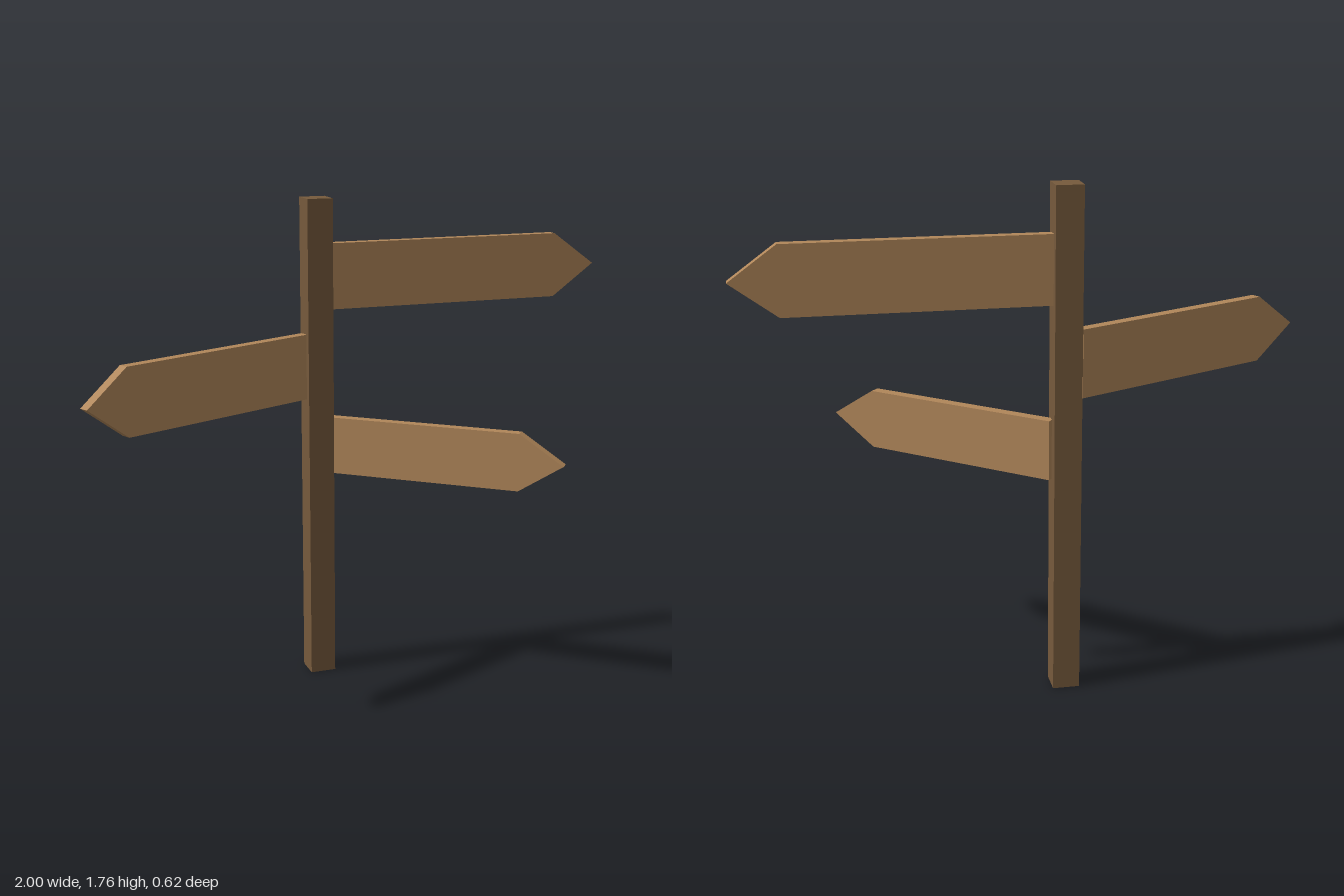
import * as THREE from 'three';

export function createModel() {
  const postWood = new THREE.MeshStandardMaterial({ color: 0x765a3c });
  postWood.name = 'dark wood';
  const boardWood = new THREE.MeshStandardMaterial({ color: 0xb08659 });
  boardWood.name = 'light wood';

  const signpost = new THREE.Group();
  signpost.name = 'signpost';

  // Square post
  const size = 0.093, height = 1.76, postX = -0.083, postZ = -0.267;
  const post = new THREE.Mesh(new THREE.BoxGeometry(size, height, size), postWood);
  post.name = 'post';
  post.position.set(postX, height / 2, postZ);
  signpost.add(post);

  // Pointed board: starts at x = 0 and points along +x
  const thick = 0.037, tip = 0.16;
  function addBoard(name, length, bottom, top, side, angle) {
    const h = (top - bottom) / 2;
    const shape = new THREE.Shape([
      new THREE.Vector2(0, -h),
      new THREE.Vector2(length - tip, -h),
      new THREE.Vector2(length, 0),
      new THREE.Vector2(length - tip, h),
      new THREE.Vector2(0, h),
    ]);
    const geometry = new THREE.ExtrudeGeometry(shape, { depth: thick, bevelEnabled: false });
    geometry.translate(0, 0, -thick / 2);
    const board = new THREE.Mesh(geometry, boardWood);
    board.name = name;
    // Hinged on the post face it leaves from
    board.position.set(postX + side * size / 2, (bottom + top) / 2, postZ);
    board.rotation.y = THREE.MathUtils.degToRad(angle);
    signpost.add(board);
  }

  addBoard('upperBoard', 1.036, 1.365, 1.6, 1, 0);
  addBoard('middleBoard', 0.952, 1.045, 1.28, -1, -155);
  addBoard('lowerBoard', 0.873, 0.763, 0.971, 1, -40);

  return signpost;
}
